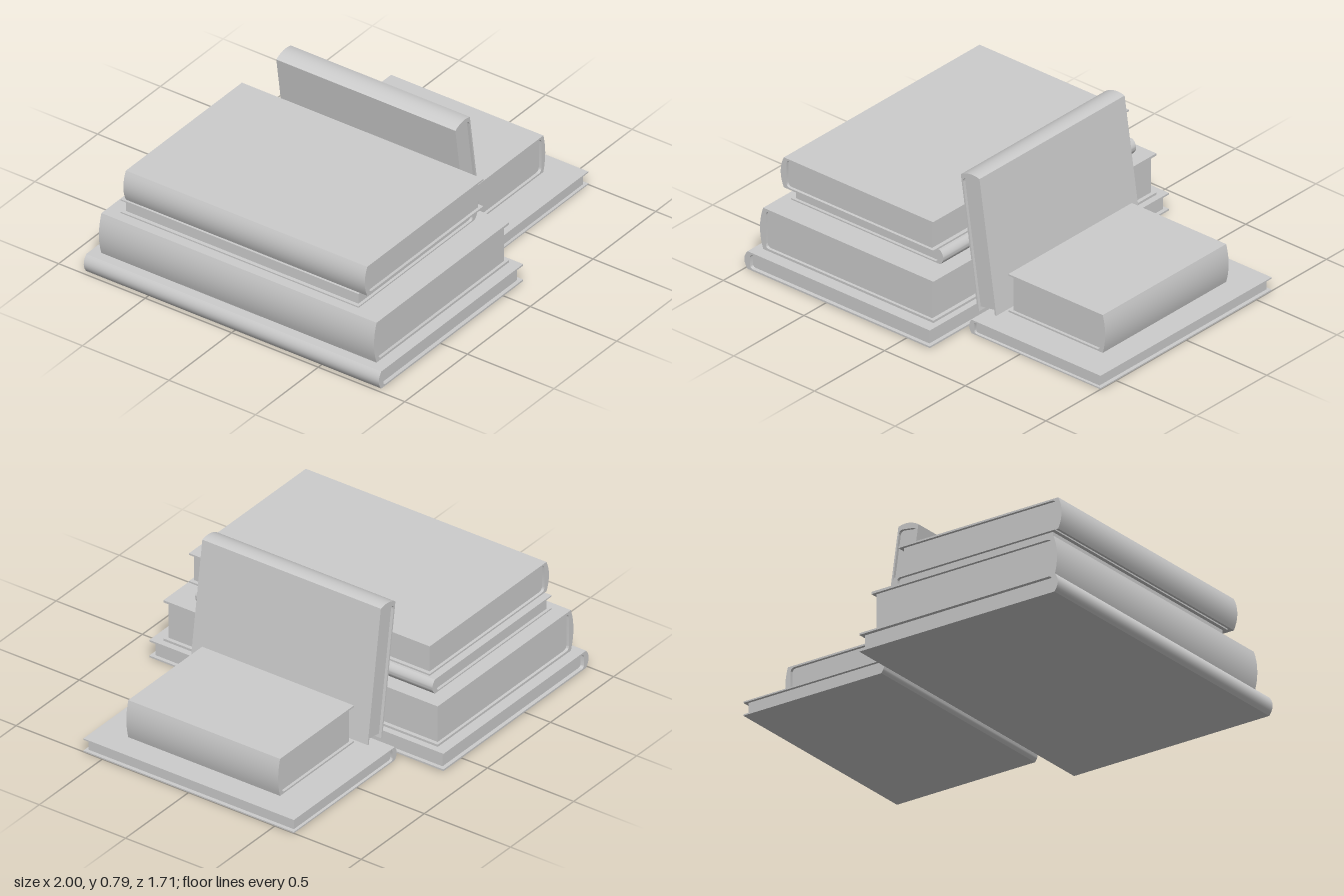
import * as THREE from 'three';
import { toCreasedNormals } from 'three/addons/utils/BufferGeometryUtils.js';

const material = new THREE.MeshStandardMaterial({ color: 0xcccccc });

function extrude(shape, depth, name) {
  const geo = new THREE.ExtrudeGeometry(shape, { depth, bevelEnabled: false, curveSegments: 10 });
  geo.translate(0, 0, -depth / 2);
  const mesh = new THREE.Mesh(toCreasedNormals(geo, 0.6), material);
  mesh.name = name;
  return mesh;
}

// A book lying flat: spine at x = 0, fore-edge towards +x, centred on z
function makeBook(name, { length, height, width, board = 0.009, bulge = 0.02, spine = 0.016, inset = 0.015 }) {
  const book = new THREE.Group();
  book.name = name;
  const s = bulge + spine;                    // where the pages start
  const r = Math.min(0.022, height * 0.2);    // rounded page corners at the spine
  const top = height - board;
  const pageEnd = length - 0.02;

  // Cover: two boards joined by a rounded spine
  const cover = new THREE.Shape();
  cover.moveTo(length, height);
  cover.lineTo(bulge, height);
  cover.quadraticCurveTo(-bulge, height / 2, bulge, 0);
  cover.lineTo(length, 0);
  cover.lineTo(length, board);
  cover.lineTo(s + r, board);
  cover.quadraticCurveTo(s, board, s, board + r);
  cover.lineTo(s, top - r);
  cover.quadraticCurveTo(s, top, s + r, top);
  cover.lineTo(length, top);
  cover.closePath();
  book.add(extrude(cover, width, 'cover'));

  // Page block, set back from the cover edges
  const pages = new THREE.Shape();
  pages.moveTo(pageEnd, top);
  pages.lineTo(s + r, top);
  pages.quadraticCurveTo(s, top, s, top - r);
  pages.lineTo(s, board + r);
  pages.quadraticCurveTo(s, board, s + r, board);
  pages.lineTo(pageEnd, board);
  pages.closePath();
  book.add(extrude(pages, width - 2 * inset, 'pages'));
  return book;
}

export function createModel() {
  const model = new THREE.Group();
  model.name = 'bookPile';

  // x and y ranges, z range, and whether the spine faces +x
  const flatBooks = [
    { name: 'leftStackBottomBook', x: [-1, 0.15], y: [0.005, 0.1], z: [-0.855, 0.85], inset: 0.02 },
    { name: 'leftStackThickBook', x: [-0.955, 0.12], y: [0.103, 0.326], z: [-0.8, 0.79], board: 0.012 },
    { name: 'leftStackThinBook', x: [-0.885, 0.06], y: [0.329, 0.406], z: [-0.725, 0.65], flip: true, board: 0.007 },
    { name: 'leftStackTopBook', x: [-0.905, 0.04], y: [0.416, 0.578], z: [-0.695, 0.7] },
    { name: 'rightStackBottomBook', x: [0.185, 1], y: [0, 0.073], z: [-0.61, 0.61], board: 0.007, bulge: 0.016 },
    { name: 'rightStackTopBook', x: [0.285, 0.885], y: [0.076, 0.28], z: [-0.435, 0.445], flip: true, bulge: 0.015 },
  ];
  for (const { name, x, y, z, flip, ...options } of flatBooks) {
    const book = makeBook(name, { length: x[1] - x[0], height: y[1] - y[0], width: z[1] - z[0], ...options });
    book.position.set(flip ? x[1] : x[0], y[0], (z[0] + z[1]) / 2);
    if (flip) book.rotation.y = Math.PI;
    model.add(book);
  }

  // Book leaning against the left stack, spine upward
  const leaning = makeBook('leaningBook', { length: 0.721, height: 0.117, width: 1.035, bulge: 0.014 });
  leaning.position.set(0.057, 0.782, 0.007);
  leaning.rotation.z = THREE.MathUtils.degToRad(-81.5);
  model.add(leaning);

  return model;
}
